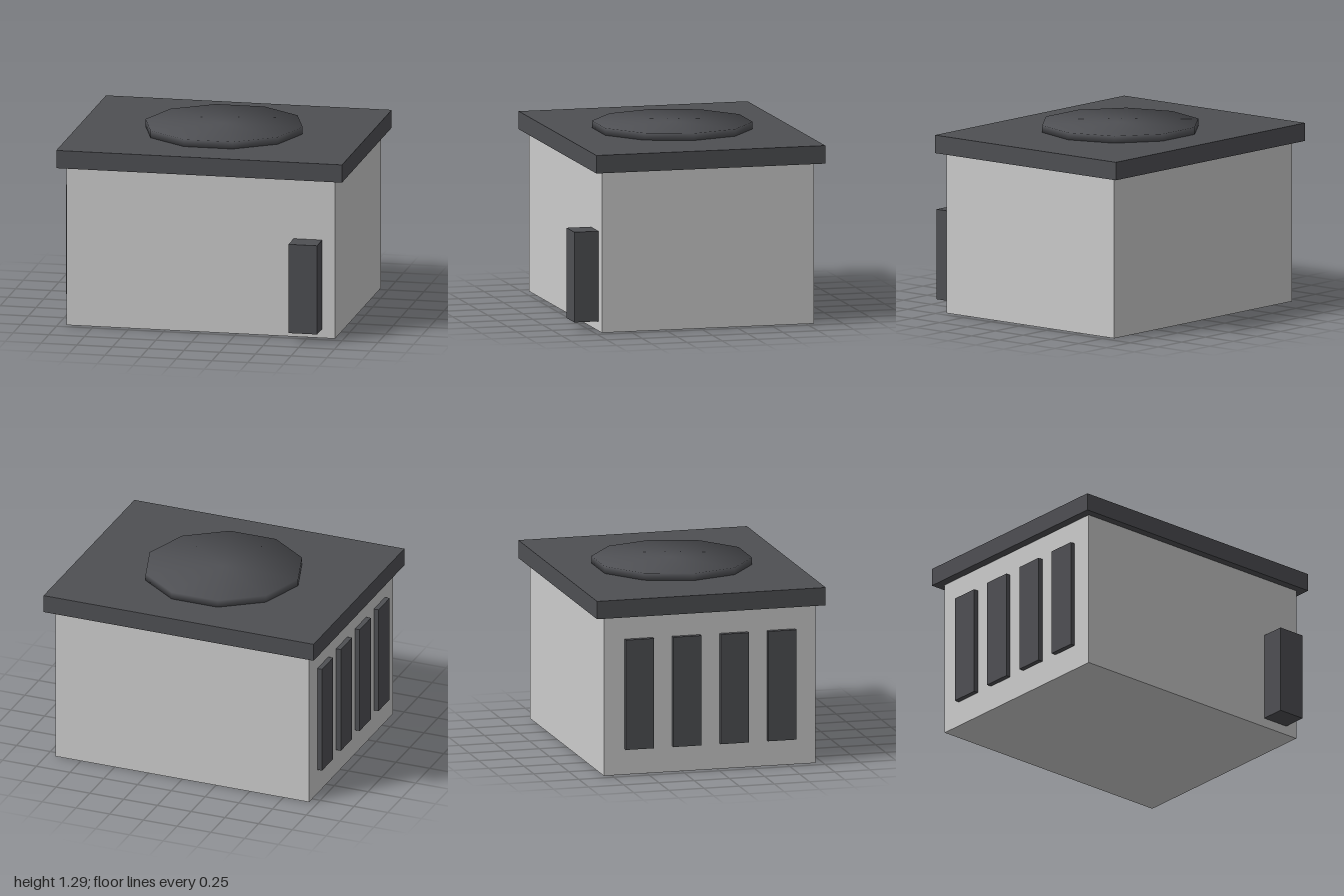
import * as THREE from 'three';

export function createModel() {
  const model = new THREE.Group();
  const light = new THREE.MeshStandardMaterial({ color: 0xcccccc });
  const dark = new THREE.MeshStandardMaterial({ color: 0x4e4f53 });

  // Box given by its minimum and maximum corners
  function addBox(name, material, min, max) {
    const size = max.map((v, i) => v - min[i]);
    const mesh = new THREE.Mesh(new THREE.BoxGeometry(...size), material);
    mesh.position.set(...max.map((v, i) => (v + min[i]) / 2));
    mesh.name = name;
    model.add(mesh);
  }

  // Housing and overhanging lid
  addBox('housing', light, [-0.94, 0, -0.805], [0.94, 1.115, 0.7]);
  addBox('lid', dark, [-1, 1.115, -0.87], [1, 1.24, 0.755]);

  // Service box on the front
  addBox('serviceBox', dark, [0.65, 0.065, 0.7], [0.85, 0.69, 0.87]);

  // Four upright vents on one side
  for (let i = 0; i < 4; i++) {
    const z = -0.0525 + (i - 1.5) * 0.337;
    addBox('vent' + (i + 1), dark, [-0.975, 0.18, z - 0.1], [-0.94, 0.95, z + 0.1]);
  }

  // Ten-sided fan cover, its rim normals leaning out 45 degrees for a soft, domed shading
  const cover = new THREE.CylinderGeometry(0.55, 0.55, 0.05, 10, 1, false, Math.PI / 2);
  const pos = cover.attributes.position;
  const n = new THREE.Vector3();
  for (let i = 0; i < pos.count; i++) {
    n.set(pos.getX(i) / 0.55, Math.sign(pos.getY(i)), pos.getZ(i) / 0.55).normalize();
    cover.attributes.normal.setXYZ(i, n.x, n.y, n.z);
  }
  const fanCover = new THREE.Mesh(cover, dark);
  fanCover.name = 'fanCover';
  fanCover.position.set(0, 1.265, -0.06);
  model.add(fanCover);

  return model;
}
